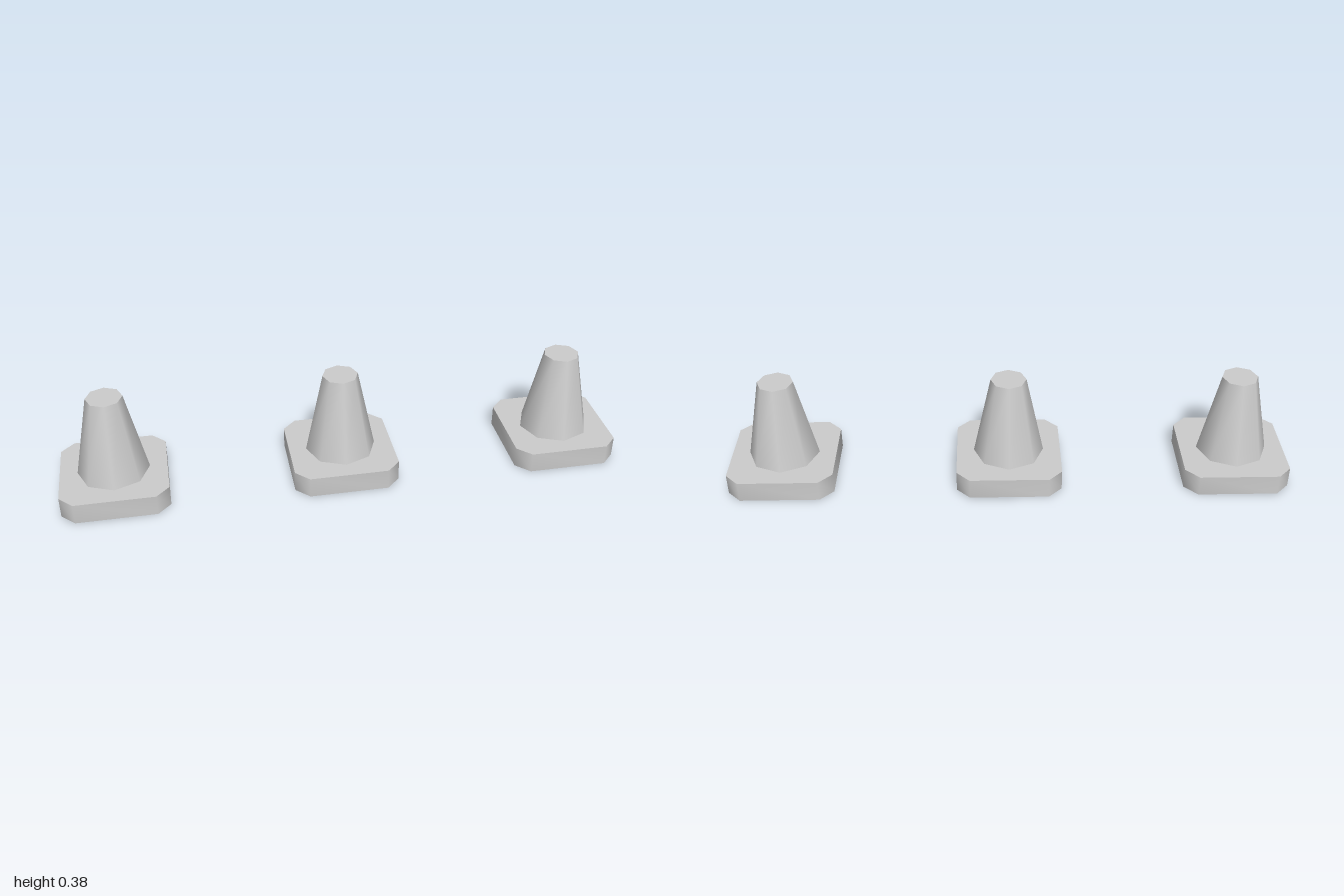
import * as THREE from 'three';
import { toCreasedNormals } from 'three/addons/utils/BufferGeometryUtils.js';

const HALF = 0.1875;     // half width of a base plate
const CUT = 0.047;       // size of the cut corners
const BASE_H = 0.075;
const CONE_H = 0.3;
const SPACING = 0.8125;

// Square plate with cut corners, sides shaded smoothly round the corners
function baseGeometry() {
  const a = HALF, b = HALF - CUT;
  const outline = [[a, -b], [a, b], [b, a], [-b, a], [-a, b], [-a, -b], [-b, -a], [b, -a]];
  const shape = new THREE.Shape(outline.map(([x, y]) => new THREE.Vector2(x, y)));
  const geometry = new THREE.ExtrudeGeometry(shape, { depth: BASE_H, bevelEnabled: false });
  geometry.rotateX(-Math.PI / 2);
  return toCreasedNormals(geometry, Math.PI / 3);
}

export function createModel() {
  const model = new THREE.Group();
  model.name = 'trafficCones';

  const grey = new THREE.MeshStandardMaterial({ color: 0xcccccc });
  grey.name = 'lightGrey';

  const base = baseGeometry();
  // Eight-sided tapered body with smooth sides and a flat top
  const body = new THREE.CylinderGeometry(0.063, 0.126, CONE_H, 8);
  body.translate(0, BASE_H + CONE_H / 2, 0);

  // Row of three identical cones
  ['right', 'middle', 'left'].forEach((side, i) => {
    const cone = new THREE.Group();
    cone.name = side + 'Cone';
    cone.position.x = (i - 1) * SPACING;
    for (const [name, geometry] of [['basePlate', base], ['coneBody', body]]) {
      const mesh = new THREE.Mesh(geometry, grey);
      mesh.name = name;
      cone.add(mesh);
    }
    model.add(cone);
  });

  return model;
}
